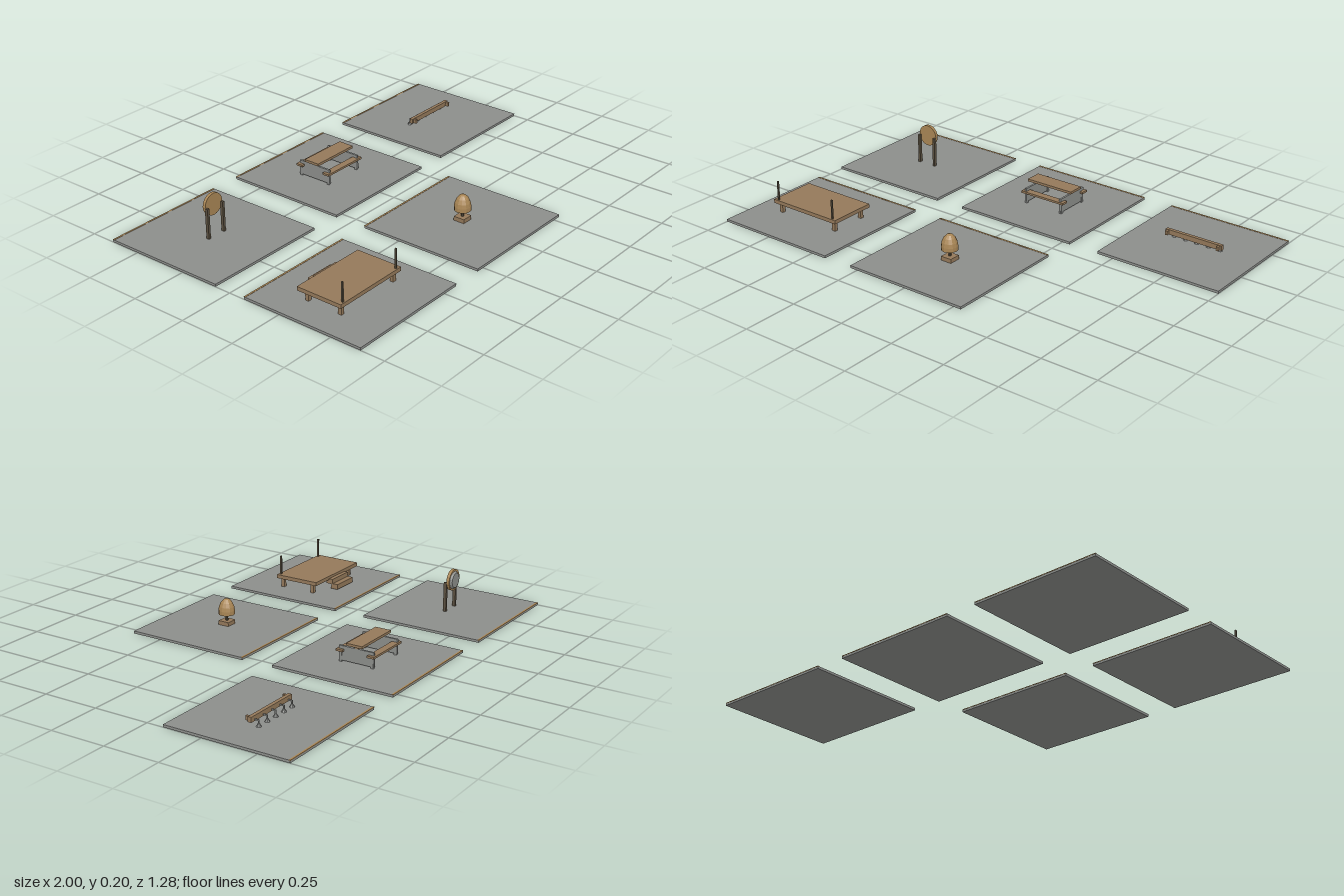
import * as THREE from 'three';

const mat = (name, color) => Object.assign(new THREE.MeshStandardMaterial({ color, flatShading: true }), { name });

export function createModel() {
  const stone = mat('stone grey', 0x8c8e8b);
  const wood = mat('wood brown', 0x94795a);
  const gold = mat('light wood', 0xa98655);
  const dark = mat('dark timber', 0x5a5040);
  const root = new THREE.Group();
  root.name = 'courtyardSet';

  const add = (parent, name, geo, m, x, y, z) => {
    const mesh = new THREE.Mesh(geo, m);
    mesh.name = name;
    mesh.position.set(x, y, z);
    parent.add(mesh);
    return mesh;
  };
  // Box given by its size, bottom height and plan centre
  const box = (parent, name, m, w, h, d, x, y, z) =>
    add(parent, name, new THREE.BoxGeometry(w, h, d), m, x, y + h / 2, z);

  // Each display stands on its own square slab with a thin edge strip
  const T = 0.011;
  const tile = (name, x, z) => {
    const g = new THREE.Group();
    g.name = name;
    g.position.set(x, 0, z);
    root.add(g);
    box(g, 'slab', stone, 0.573, T, 0.566, 0, 0, 0);
    box(g, 'edgeStrip', gold, 0.573, 0.003, 0.008, 0, T - 0.002, -0.28);
    return g;
  };
  const P = 0.713, Z = 0.357;

  // Round board on two posts, with a grey face at the back
  const board = tile('roundBoard', -P, -Z);
  add(board, 'disc', new THREE.CylinderGeometry(0.048, 0.048, 0.014, 24).rotateX(Math.PI / 2), gold, 0, 0.148, -0.001);
  add(board, 'backFace', new THREE.CylinderGeometry(0.04, 0.033, 0.009, 20).rotateX(Math.PI / 2), stone, 0.003, 0.148, -0.0125);
  for (const s of [-1, 1]) box(board, 'post', dark, 0.011, 0.134, 0.014, s * 0.043, T, 0.011);

  // Table with two benches and grey end panels
  const table = tile('benchTable', 0, -Z);
  box(table, 'tableTop', wood, 0.23, 0.011, 0.074, 0, 0.092, 0);
  for (const s of [-1, 1]) {
    box(table, 'bench', wood, 0.222, 0.009, 0.033, 0, 0.058, s * 0.074);
    box(table, 'endPanel', stone, 0.009, 0.063, 0.166, s * 0.092, 0.017, 0);
    box(table, 'topSupport', wood, 0.009, 0.012, 0.02, s * 0.092, 0.08, 0);
    for (const t of [-1, 1]) box(table, 'benchLeg', stone, 0.012, 0.047, 0.012, s * 0.092, T, t * 0.075);
  }

  // Rail with five hanging hooks
  const rack = tile('hookRail', P, -Z);
  box(rack, 'rail', wood, 0.268, 0.022, 0.016, 0, 0.032, -0.001);
  for (const s of [-1, 1]) box(rack, 'railEnd', wood, 0.011, 0.018, 0.018, s * 0.122, 0.034, 0.013);
  for (let i = -2; i <= 2; i++) {
    box(rack, 'hookArm', stone, 0.005, 0.005, 0.022, i * 0.055, 0.036, -0.017);
    box(rack, 'hookStem', stone, 0.005, 0.022, 0.005, i * 0.055, 0.019, -0.026);
    add(rack, 'hookEnd', new THREE.CylinderGeometry(0.005, 0.011, 0.012, 8), stone, i * 0.055, 0.019, -0.026);
  }

  // Platform with steps at the back and two poles at the front
  const stage = tile('platform', -P, Z);
  box(stage, 'deck', wood, 0.356, 0.017, 0.214, -0.002, 0.053, -0.004);
  for (const s of [-1, 1]) {
    for (const z of [-0.079, 0.081]) box(stage, 'leg', wood, 0.016, 0.042, 0.016, s * 0.153, T, z);
    box(stage, 'pole', dark, 0.007, 0.087, 0.007, s * 0.157 - 0.002, 0.069, 0.094);
  }
  box(stage, 'upperStep', wood, 0.132, 0.023, 0.034, 0, 0.035, -0.113);
  box(stage, 'lowerStep', wood, 0.132, 0.024, 0.034, 0, 0.014, -0.14);

  // Domed body on a stem and square foot
  const dome = tile('domeOnStand', 0, Z);
  box(dome, 'foot', wood, 0.051, 0.018, 0.051, 0, 0.013, 0);
  add(dome, 'stem', new THREE.CylinderGeometry(0.006, 0.006, 0.032, 8), dark, 0, 0.046, 0);
  const profile = [[0, 0.06], [0.036, 0.06], [0.036, 0.078], [0.033, 0.095], [0.025, 0.113], [0.013, 0.126], [0, 0.131]]
    .map(([r, y]) => new THREE.Vector2(r, y));
  add(dome, 'domeBody', new THREE.LatheGeometry(profile, 12), gold, 0, 0, 0);

  return root;
}
